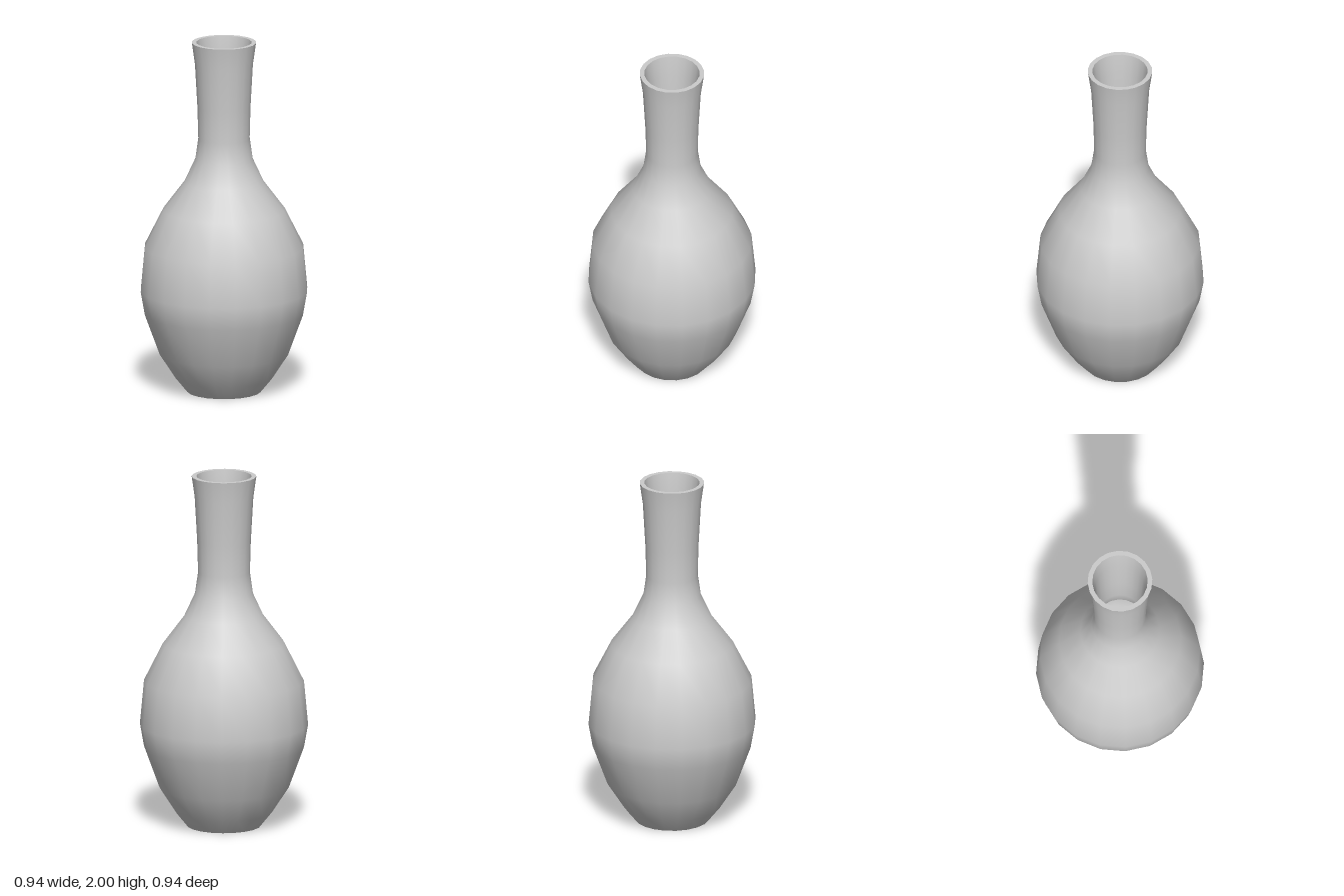
import * as THREE from 'three';

const SIDES = 20;
const WALL = 0.026;
const FLOOR = 0.03;

// Outer silhouette as [radius, height], from foot to lip
const OUTER = [
  [0.207, 0], [0.272, 0.08], [0.363, 0.22], [0.447, 0.45], [0.47, 0.58],
  [0.447, 0.83], [0.342, 1.04], [0.222, 1.2], [0.162, 1.33], [0.145, 1.45],
  [0.15, 1.63], [0.164, 1.88], [0.181, 2],
];

export function createModel() {
  const vase = new THREE.Group();
  vase.name = 'vase';
  const material = new THREE.MeshStandardMaterial({ color: 0xcccccc });

  // Each surface is its own lathe, so the rims between them stay sharp
  const addRing = (name, profile) => {
    const points = profile.map(([r, y]) => new THREE.Vector2(r, y));
    const mesh = new THREE.Mesh(new THREE.LatheGeometry(points, SIDES), material);
    mesh.name = name;
    vase.add(mesh);
  };

  // Inner wall follows the outer one, running from lip down to floor
  const inner = OUTER.map(([r, y], i) => [r - WALL, i === 0 ? FLOOR : y]).reverse();
  const [lipRadius, top] = OUTER[OUTER.length - 1];
  const footRadius = OUTER[0][0];

  addRing('outerWall', OUTER);
  addRing('lip', [[lipRadius, top], [lipRadius - WALL, top]]);
  addRing('innerWall', inner);
  addRing('innerFloor', [[footRadius - WALL, FLOOR], [0, FLOOR]]);
  addRing('base', [[0, 0], [footRadius, 0]]);

  return vase;
}
